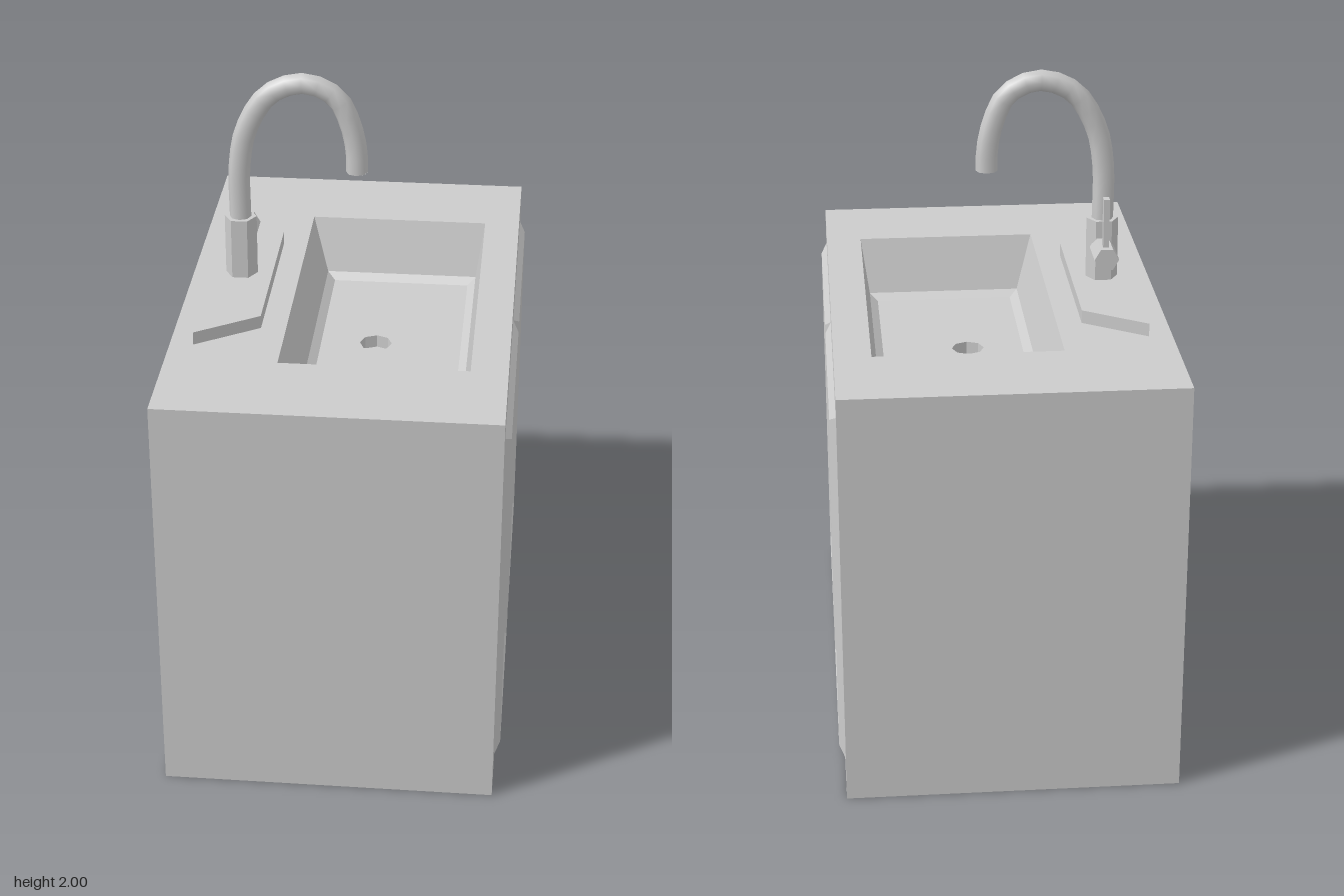
import * as THREE from 'three';

const grey = new THREE.MeshStandardMaterial({ color: 0xcccccc });
const greyFlat = new THREE.MeshStandardMaterial({ color: 0xcccccc, flatShading: true });
const greyOpen = new THREE.MeshStandardMaterial({ color: 0xcccccc, flatShading: true, side: THREE.DoubleSide });

function part(name, geometry, material = greyFlat, x = 0, y = 0, z = 0) {
  const mesh = new THREE.Mesh(geometry, material);
  mesh.name = name;
  mesh.position.set(x, y, z);
  return mesh;
}

// Skin a list of four-cornered rings with flat quads
function loft(rings) {
  const pos = [];
  for (let r = 0; r + 1 < rings.length; r++) {
    const a = rings[r], b = rings[r + 1];
    for (let i = 0; i < 4; i++) {
      const j = (i + 1) % 4;
      pos.push(...a[i], ...a[j], ...b[j], ...a[i], ...b[j], ...b[i]);
    }
  }
  const g = new THREE.BufferGeometry();
  g.setAttribute('position', new THREE.Float32BufferAttribute(pos, 3));
  g.computeVertexNormals();
  return g;
}

// Horizontal ring, counter-clockwise from above
const flatRing = (y, x0, x1, z0, z1) => [[x0, y, z1], [x1, y, z1], [x1, y, z0], [x0, y, z0]];

// Upright ring facing +x; near and far are distances from the middle seam
function doorRing(side, x, near, far, y0, y1) {
  const z0 = Math.min(side * near, side * far), z1 = Math.max(side * near, side * far);
  return [[x, y0, z1], [x, y0, z0], [x, y1, z0], [x, y1, z1]];
}

export function createModel() {
  const model = new THREE.Group();
  model.name = 'sinkCabinet';

  // Cabinet: underside, walls and worktop around the basin opening
  const opening = flatRing(1.3, -0.18, 0.38, -0.5, 0.5);
  model.add(part('cabinet', loft([
    flatRing(0, 0, 0, 0, 0),
    flatRing(0, -0.51, 0.49, -0.8, 0.8),
    flatRing(1.3, -0.51, 0.49, -0.8, 0.8),
    opening,
  ])));

  // Basin: tapered walls, bevelled foot, floor with a drain hole
  const floorY = 1.11;
  model.add(part('basinWalls', loft([
    opening,
    flatRing(1.13, -0.13, 0.355, -0.447, 0.447),
    flatRing(floorY, -0.105, 0.33, -0.422, 0.422),
  ]), greyOpen));

  const drainX = 0.065, drainR = 0.05, drainDepth = 0.04;
  const floor = new THREE.Shape([[-0.105, -0.422], [0.33, -0.422], [0.33, 0.422], [-0.105, 0.422]]
    .map(([x, y]) => new THREE.Vector2(x, y)));
  const hole = [];
  for (let i = 0; i < 8; i++) {
    const a = i * Math.PI / 4;
    hole.push(new THREE.Vector2(drainX + drainR * Math.sin(a), drainR * Math.cos(a)));
  }
  floor.holes.push(new THREE.Path(hole));
  model.add(part('basinFloor', new THREE.ShapeGeometry(floor).rotateX(-Math.PI / 2), greyOpen, 0, floorY));
  model.add(part('drainWall', new THREE.CylinderGeometry(drainR, drainR, drainDepth, 8, 1, true),
    greyOpen, drainX, floorY - drainDepth / 2));
  model.add(part('drainBottom', new THREE.CircleGeometry(drainR, 8).rotateX(-Math.PI / 2),
    greyOpen, drainX, floorY - drainDepth));

  // Pair of doors: bevelled rim, raised frame, sunken panel
  for (const side of [1, -1]) {
    model.add(part(side > 0 ? 'leftDoor' : 'rightDoor', loft([
      doorRing(side, 0.49, 0, 0.72, 0.09, 1.21),
      doorRing(side, 0.508, 0.035, 0.682, 0.115, 1.188),
      doorRing(side, 0.508, 0.117, 0.68, 0.117, 1.186),
      doorRing(side, 0.492, 0.154, 0.645, 0.145, 1.16),
      doorRing(side, 0.492, 0.4, 0.4, 0.65, 0.65),
    ])));
  }

  // Deck plate under the tap
  model.add(part('deckPlate', loft([
    [[-0.44, 1.3, 0.412], [-0.255, 1.3, 0.29], [-0.255, 1.3, -0.29], [-0.44, 1.3, -0.412]],
    [[-0.44, 1.34, 0.412], [-0.255, 1.34, 0.29], [-0.255, 1.34, -0.29], [-0.44, 1.34, -0.412]],
    flatRing(1.34, -0.35, -0.35, 0, 0),
  ])));

  // Tap: hexagonal body, swan-neck spout, side valve and lever
  const tap = new THREE.Group();
  tap.name = 'tap';
  const tapX = -0.35;
  tap.add(part('tapBody', new THREE.CylinderGeometry(0.049, 0.049, 0.19, 6).rotateY(Math.PI / 6), greyFlat, tapX, 1.435));
  const neck = new THREE.CatmullRomCurve3([
    [-0.35, 1.52], [-0.349, 1.7], [-0.325, 1.82], [-0.255, 1.93], [-0.15, 1.967],
    [-0.055, 1.925], [-0.01, 1.83], [0.005, 1.75], [0.006, 1.69],
  ].map(([x, y]) => new THREE.Vector3(x, y, 0)));
  tap.add(part('spout', new THREE.TubeGeometry(neck, 20, 0.033, 8), grey));
  tap.add(part('spoutEnd', new THREE.CircleGeometry(0.033, 8).rotateX(Math.PI / 2), greyOpen, 0.006, 1.69));
  const valve = new THREE.CylinderGeometry(0.0375, 0.0375, 0.12, 6).rotateY(Math.PI / 6).rotateX(Math.PI / 2);
  tap.add(part('valve', valve, greyFlat, tapX + 0.003, 1.443, -0.085));
  tap.add(part('lever', new THREE.BoxGeometry(0.018, 0.17, 0.026), greyFlat, tapX + 0.003, 1.542, -0.109));
  model.add(tap);

  return model;
}
